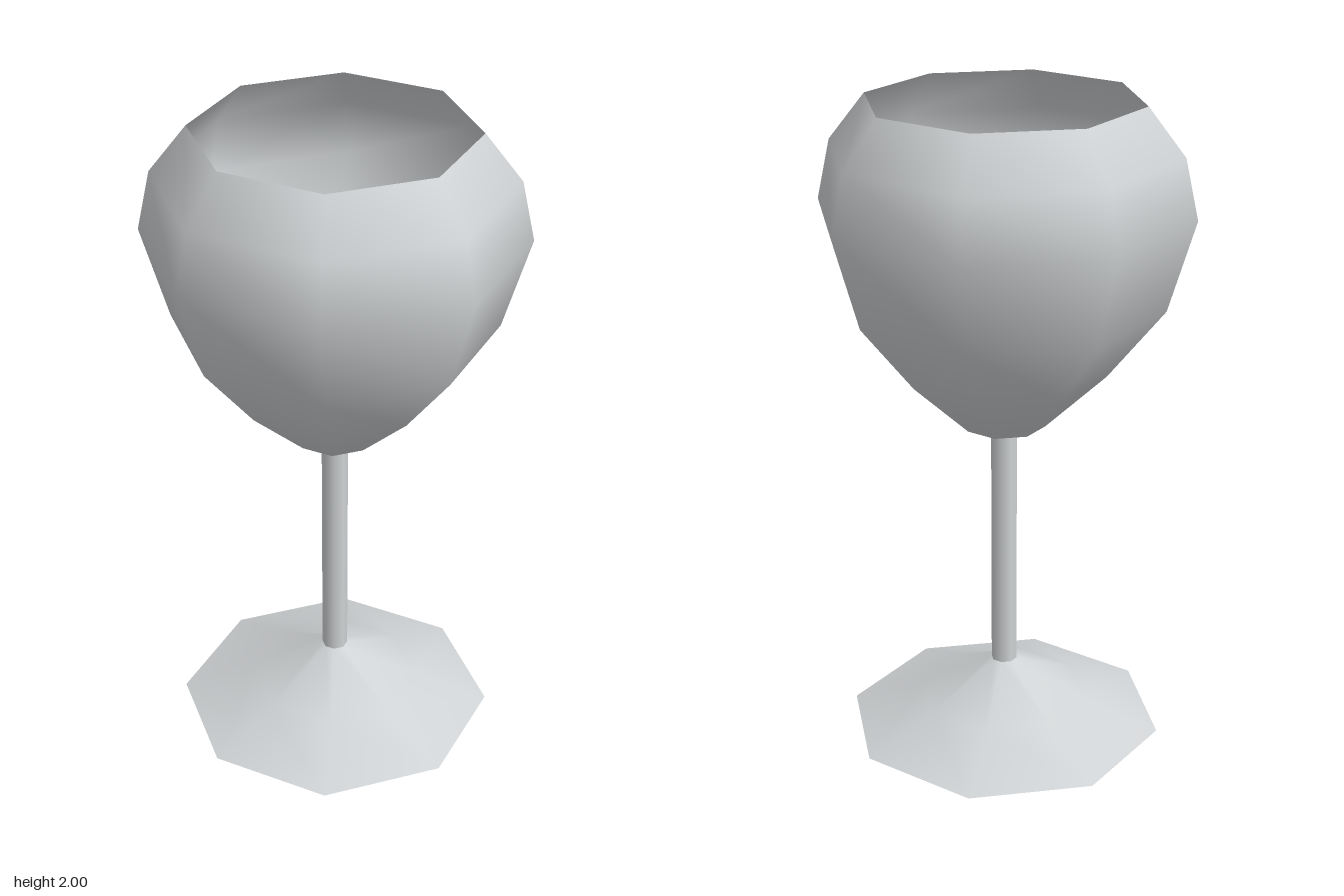
import * as THREE from 'three';

const SIDES = 8;

export function createModel() {
  const group = new THREE.Group();
  group.name = 'wineGlass';
  const glass = new THREE.MeshStandardMaterial({ color: 0xd0d3d5, side: THREE.DoubleSide });
  glass.name = 'pale grey glass';

  const add = (name, geometry) => {
    const mesh = new THREE.Mesh(geometry, glass);
    mesh.name = name;
    group.add(mesh);
    return mesh;
  };
  // Eight-sided shell turned around the y axis, profile given bottom to top
  const turned = (profile) =>
    new THREE.LatheGeometry(profile.map(([r, y]) => new THREE.Vector2(r, y)), SIDES);

  // Flared foot, hollow underneath
  add('foot', turned([[0.495, 0], [0.265, 0.09], [0.04, 0.21]]));

  // Slim stem, whose ends close the foot and the bowl
  add('stem', new THREE.CylinderGeometry(0.04, 0.04, 0.78, SIDES)).position.y = 0.6;

  // Open, thin-walled bowl
  add('bowl', turned([
    [0.04, 0.99], [0.127, 1.015], [0.31, 1.19], [0.48, 1.405],
    [0.56, 1.68], [0.52, 1.86], [0.41, 2],
  ]));

  return group;
}
